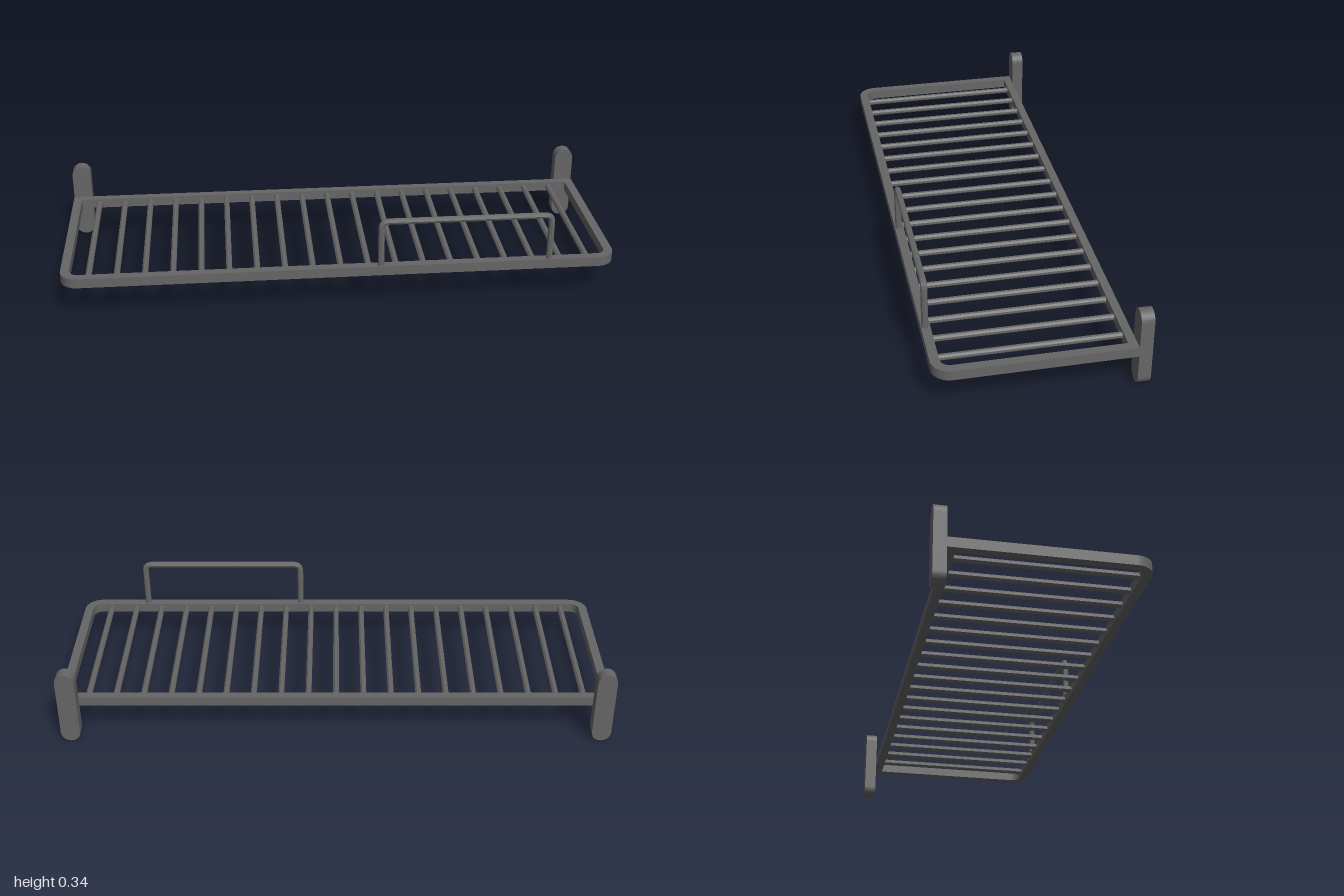
import * as THREE from 'three';

const steel = new THREE.MeshStandardMaterial({ color: 0x666666, flatShading: true });
steel.name = 'darkSteel';

function add(group, geometry, name, x = 0, y = 0, z = 0) {
  const mesh = new THREE.Mesh(geometry, steel);
  mesh.name = name;
  mesh.position.set(x, y, z);
  group.add(mesh);
  return mesh;
}

// Rectangle with square back corners and rounded front corners (y becomes z)
function trace(path, halfWidth, back, front, r) {
  path.moveTo(-halfWidth, back);
  path.lineTo(halfWidth, back);
  path.lineTo(halfWidth, front - r);
  path.absarc(halfWidth - r, front - r, r, 0, Math.PI / 2, false);
  path.lineTo(-halfWidth + r, front);
  path.absarc(-halfWidth + r, front - r, r, Math.PI / 2, Math.PI, false);
  path.lineTo(-halfWidth, back);
  return path;
}

export function createModel() {
  const model = new THREE.Group();
  model.name = 'slattedShelf';

  // Flat bar frame
  const outline = trace(new THREE.Shape(), 1, -0.315, 0.36, 0.065);
  outline.holes.push(trace(new THREE.Path(), 0.968, -0.285, 0.328, 0.033));
  const frame = new THREE.ExtrudeGeometry(outline, { depth: 0.036, bevelEnabled: false, curveSegments: 6 });
  frame.rotateX(Math.PI / 2);
  add(model, frame, 'frame', 0, 0.162, 0);

  // Round slats running front to back
  const slat = new THREE.CylinderGeometry(0.0115, 0.0115, 0.63, 8, 1, true);
  slat.rotateY(Math.PI / 8);
  slat.rotateX(Math.PI / 2);
  for (let i = -9; i <= 9; i++) add(model, slat, 'slat', i * 0.1, 0.144, 0.021);

  // Upright mounting plates with rounded ends
  const r = 0.035;
  const plate = new THREE.Shape();
  plate.absarc(0, 0.289 - r, r, 0, Math.PI, false);
  plate.absarc(0, 0.002 + r, r, Math.PI, Math.PI * 2, false);
  plate.closePath();
  const bracket = new THREE.ExtrudeGeometry(plate, { depth: 0.045, bevelEnabled: false, curveSegments: 8 });
  for (const side of [-1, 1]) add(model, bracket, 'wallBracket', side * (1 - r), 0, -0.36);

  // Bent guard rail on the front edge
  const v = (x, y) => new THREE.Vector3(x, y, 0.346);
  const [x0, x1, top, bend] = [0.142, 0.754, 0.3335, 0.026];
  const path = new THREE.CurvePath();
  path.add(new THREE.LineCurve3(v(x0, 0.15), v(x0, top - bend)));
  path.add(new THREE.QuadraticBezierCurve3(v(x0, top - bend), v(x0, top), v(x0 + bend, top)));
  path.add(new THREE.LineCurve3(v(x0 + bend, top), v(x1 - bend, top)));
  path.add(new THREE.QuadraticBezierCurve3(v(x1 - bend, top), v(x1, top), v(x1, top - bend)));
  path.add(new THREE.LineCurve3(v(x1, top - bend), v(x1, 0.15)));
  add(model, new THREE.TubeGeometry(path, 100, 0.0118, 8, false), 'guardRail');

  return model;
}
